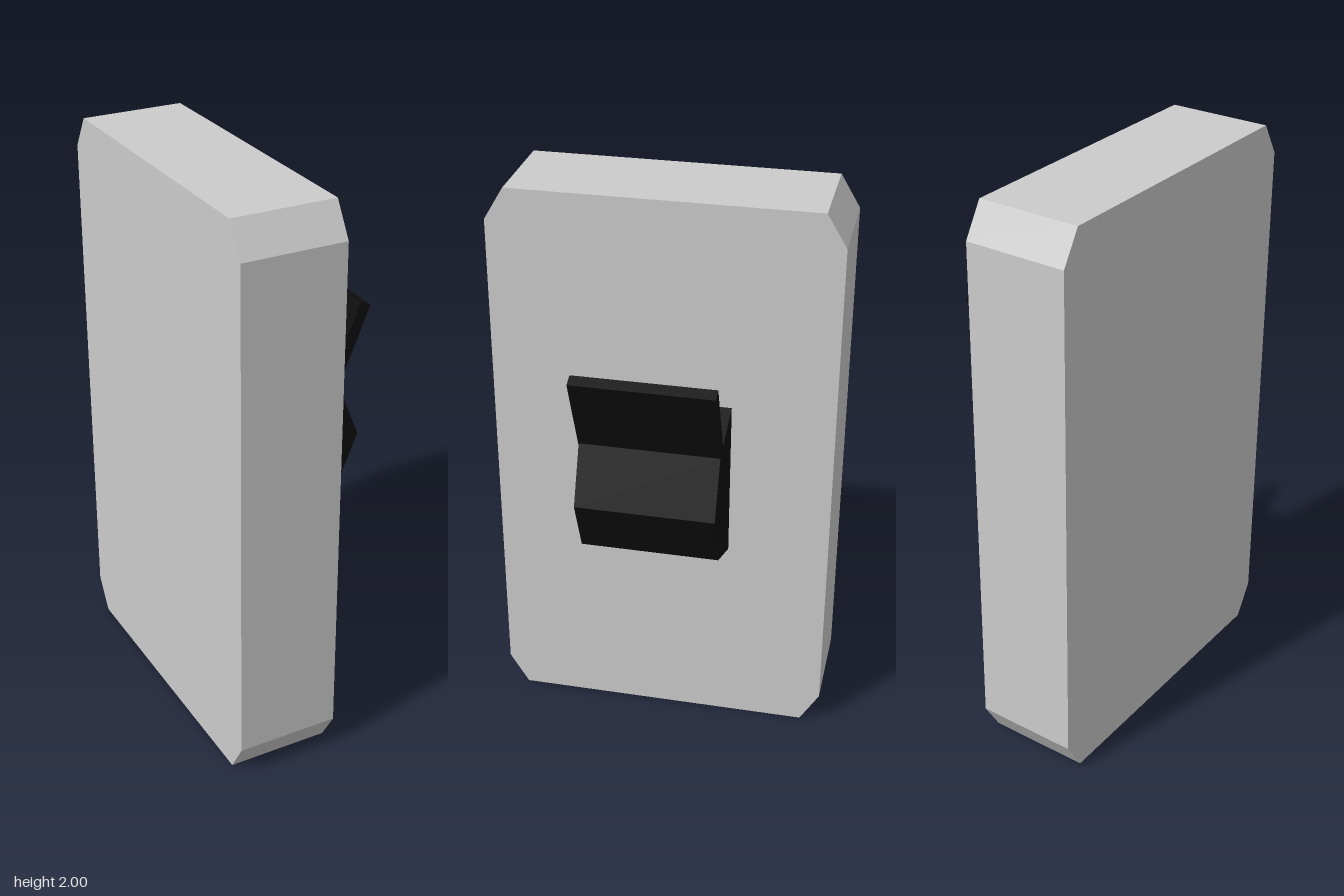
import * as THREE from 'three';

// Extrude a 2D outline, centred along its depth
function prism(name, points, depth, material) {
  const shape = new THREE.Shape(points.map(([x, y]) => new THREE.Vector2(x, y)));
  const geometry = new THREE.ExtrudeGeometry(shape, { depth, bevelEnabled: false });
  geometry.translate(0, 0, -depth / 2);
  const mesh = new THREE.Mesh(geometry, material);
  mesh.name = name;
  return mesh;
}

export function createModel() {
  const group = new THREE.Group();
  group.name = 'wallSwitch';
  const grey = new THREE.MeshStandardMaterial({ color: 0xcccccc, flatShading: true });
  const black = new THREE.MeshStandardMaterial({ color: 0x0e0e0e, flatShading: true });

  // Upright plate with chamfered corners, outline in the z-y plane
  const w = 0.593, cw = 0.525, ch = 0.113;
  const plate = prism('plate', [
    [-cw, 0], [cw, 0], [w, ch], [w, 2 - ch], [cw, 2], [-cw, 2], [-w, 2 - ch], [-w, ch],
  ], 0.36, grey);
  plate.geometry.rotateY(Math.PI / 2);
  plate.position.x = -0.16;
  group.add(plate);

  // Half of an eight-sided drum, standing out from the plate
  const radius = 0.283, outline = [];
  for (let i = 0; i <= 4; i++) {
    const a = -Math.PI / 2 + (i * Math.PI) / 4;
    outline.push([radius * Math.cos(a), radius * Math.sin(a)]);
  }
  const drum = prism('drum', outline, 0.48, black);
  drum.position.set(0.02, 1, 0);
  group.add(drum);

  // Flat lever rising radially from the drum
  const lever = new THREE.Mesh(new THREE.BoxGeometry(0.042, 0.36, 0.484), black);
  lever.name = 'lever';
  lever.rotation.z = -Math.PI / 8;
  lever.position.set(0.246, 1.319, 0);
  group.add(lever);

  return group;
}
